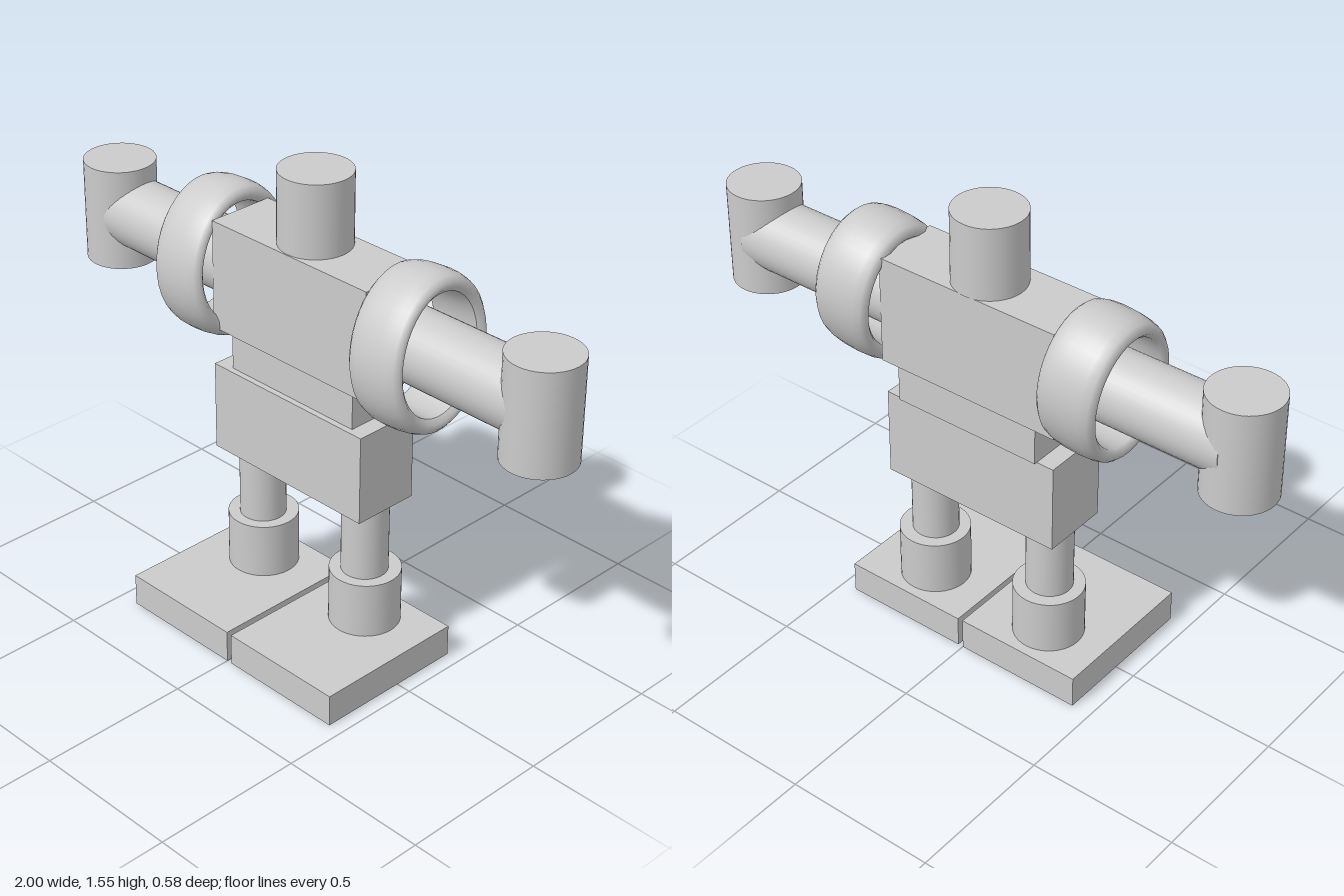
import * as THREE from 'three';

const material = new THREE.MeshStandardMaterial({ color: 0xcccccc });

export function createModel() {
  const model = new THREE.Group();

  const add = (name, geometry, x, y, z) => {
    const mesh = new THREE.Mesh(geometry, material);
    mesh.name = name;
    mesh.position.set(x, y, z);
    model.add(mesh);
    return mesh;
  };

  // Box given by its extents along each axis
  const box = (name, [x0, x1], [y0, y1], [z0, z1]) =>
    add(name, new THREE.BoxGeometry(x1 - x0, y1 - y0, z1 - z0),
      (x0 + x1) / 2, (y0 + y1) / 2, (z0 + z1) / 2);

  // Upright cylinder between two heights
  const post = (name, x, z, radius, y0, y1) =>
    add(name, new THREE.CylinderGeometry(radius, radius, y1 - y0, 40), x, (y0 + y1) / 2, z);

  // Head and body
  post('head', -0.01, -0.092, 0.115, 1.31, 1.547);
  box('chest', [-0.33, 0.315], [0.95, 1.31], [-0.203, 0.027]);
  box('waist', [-0.26, 0.255], [0.83, 0.95], [-0.2, 0.015]);
  box('hips', [-0.32, 0.31], [0.535, 0.83], [-0.19, 0.035]);

  // Shoulder ring: rounded outer bulge with a thin flat rim, turned about x
  const profile = [
    [0.19, -0.085], [0.205, -0.098], [0.222, -0.098], [0.236, -0.085], [0.244, -0.06],
    [0.248, -0.025], [0.248, 0.025], [0.244, 0.06], [0.236, 0.085], [0.222, 0.098],
    [0.205, 0.098], [0.19, 0.085], [0.185, 0.04], [0.185, -0.04], [0.19, -0.085],
  ].map(([r, h]) => new THREE.Vector2(r, h));
  const ring = new THREE.LatheGeometry(profile, 40)
    .rotateZ(Math.PI / 2)
    .scale(1, 1, 0.81)
    .rotateX(-0.23)
    .rotateZ(0.08);

  for (const [side, s] of [['left', 1], ['right', -1]]) {
    // Arms
    add(side + 'ShoulderRing', ring, s * 0.415, 1.13, -0.087);
    const arm = add(side + 'Arm', new THREE.CylinderGeometry(0.114, 0.114, 0.66, 40),
      s * 0.55, 1.135, -0.088);
    arm.rotation.z = Math.PI / 2;
    post(side + 'Hand', s * 0.884, -0.083, 0.116, 0.967, 1.302);

    // Legs
    post(side + 'Leg', s * 0.227, -0.077, 0.074, 0.28, 0.545);
    post(side + 'Ankle', s * 0.2275, -0.08, 0.113, 0.1, 0.292);
  }

  // Feet, reaching forward
  box('leftFoot', [0.018, 0.45], [0, 0.106], [-0.225, 0.293]);
  box('rightFoot', [-0.433, 0], [0, 0.108], [-0.225, 0.293]);

  return model;
}
